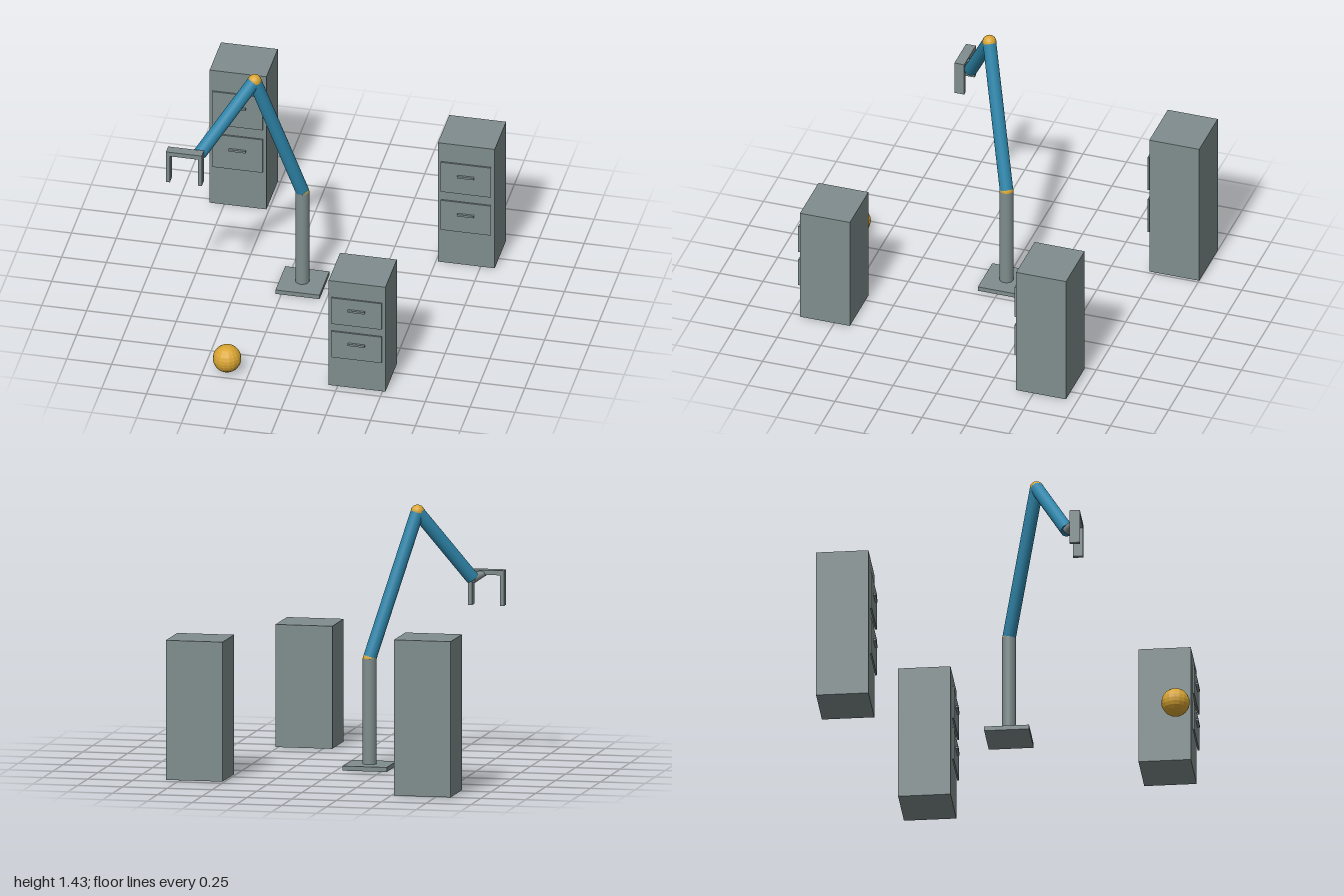
import * as THREE from 'three';

const mat = (name, color, flat = false) => {
  const m = new THREE.MeshStandardMaterial({ color, flatShading: flat });
  m.name = name;
  return m;
};

export function createModel() {
  const root = new THREE.Group();
  root.name = 'robotArmScene';
  const grey = mat('steelGrey', 0x7f8c8d);
  const greyRound = grey;
  const blue = mat('armBlue', 0x2e86ab);
  const amber = mat('amber', 0xd9a533, true);

  const add = (parent, name, geo, material, x = 0, y = 0, z = 0) => {
    const mesh = new THREE.Mesh(geo, material);
    mesh.name = name;
    mesh.position.set(x, y, z);
    parent.add(mesh);
    return mesh;
  };
  const box = (parent, name, w, h, d, x, y, z) =>
    add(parent, name, new THREE.BoxGeometry(w, h, d), grey, x, y, z);

  // Cylinder running from point a to point b
  const link = (parent, name, a, b, ra, rb, material) => {
    const dir = b.clone().sub(a);
    const mid = a.clone().add(b).multiplyScalar(0.5);
    const mesh = add(parent, name, new THREE.CylinderGeometry(rb, ra, dir.length(), 24), material, mid.x, mid.y, mid.z);
    mesh.quaternion.setFromUnitVectors(new THREE.Vector3(0, 1, 0), dir.normalize());
    return mesh;
  };

  // Filing cabinets: body, two drawer fronts and their handles
  const cabinet = (x, z, h) => {
    const g = new THREE.Group();
    g.name = 'cabinet';
    g.position.set(x, 0, z);
    const front = 0.1435;
    box(g, 'cabinetBody', 0.317, h, 0.287, 0, h / 2, 0);
    for (const f of [0.728, 0.408]) {
      box(g, 'drawerFront', 0.28, h * 0.248, 0.009, 0, h * f, front + 0.0115);
      box(g, 'drawerHandle', 0.094, 0.012, 0.013, 0, h * (f + 0.0235), front + 0.0225);
    }
    root.add(g);
  };
  cabinet(-0.673, -0.8565, 0.857);
  cabinet(0.358, 0.8045, 0.675);
  cabinet(0.67, -0.543, 0.768);

  // Loose ball on the floor
  add(root, 'ball', new THREE.SphereGeometry(0.078, 16, 12), amber, -0.373, 0.078, 0.922);

  // Arm: base, post, two blue links with amber joints
  const arm = new THREE.Group();
  arm.name = 'arm';
  root.add(arm);
  const foot = new THREE.Vector3(-0.159, 0.02, -0.012);
  const shoulder = new THREE.Vector3(-0.159, 0.605, -0.012);
  const elbow = new THREE.Vector3(-0.387, 1.395, 0.163);
  const wrist = new THREE.Vector3(-0.65, 1.01, 0.358);
  const grip = new THREE.Vector3(-0.72, 1.037, 0.415);
  box(arm, 'basePlate', 0.246, 0.025, 0.246, -0.159, 0.0125, -0.012);
  link(arm, 'post', foot, shoulder, 0.038, 0.038, greyRound);
  link(arm, 'upperArm', shoulder, elbow, 0.037, 0.037, blue);
  link(arm, 'forearm', elbow, wrist, 0.037, 0.037, blue);
  for (const p of [shoulder, elbow])
    add(arm, 'joint', new THREE.SphereGeometry(0.038, 16, 12), amber, p.x, p.y, p.z);

  // Gripper: tapered wrist, crossbar and two fingers
  const gripper = new THREE.Group();
  gripper.name = 'gripper';
  arm.add(gripper);
  link(gripper, 'wrist', wrist, grip, 0.03, 0.013, greyRound);
  box(gripper, 'crossbar', 0.2, 0.026, 0.056, -0.72, 1.038, 0.415);
  for (const s of [-1, 1])
    box(gripper, 'finger', 0.022, 0.168, 0.056, -0.72 + s * 0.089, 0.941, 0.415);

  return root;
}
